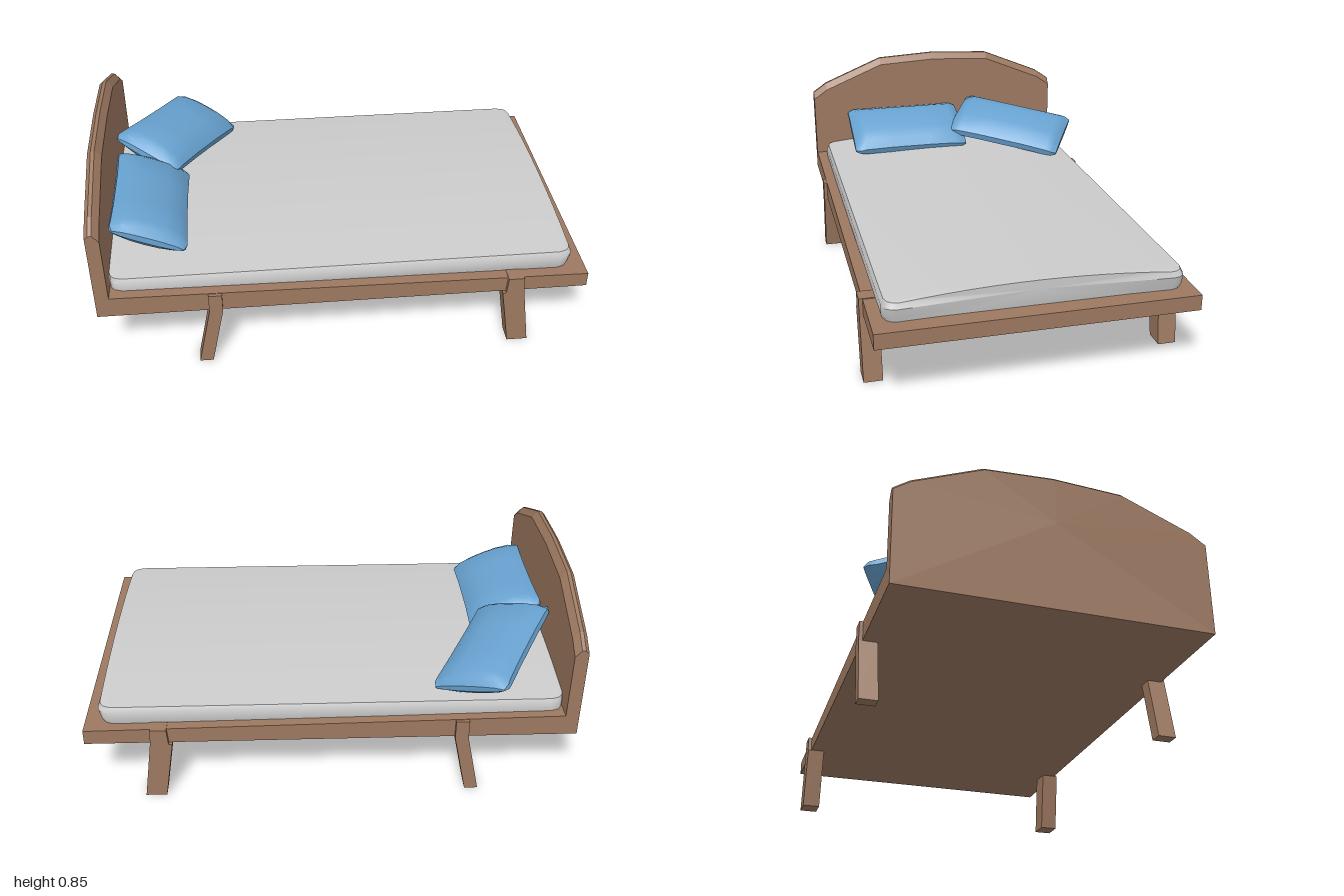
import * as THREE from 'three';
import { toCreasedNormals } from 'three/addons/utils/BufferGeometryUtils.js';

const wood = new THREE.MeshStandardMaterial({ color: 0x9c7860 });
const blue = new THREE.MeshStandardMaterial({ color: 0x68a2d0 });
const grey = new THREE.MeshStandardMaterial({ color: 0xcccccc });

// Skins equal-length closed rings of [x, y, z], counter-clockwise about the loft direction, with capped ends
function loft(rings, crease) {
  const n = rings[0].length, pos = rings.flat(2), index = [];
  for (let i = 0; i < rings.length - 1; i++) {
    for (let j = 0; j < n; j++) {
      const a = i * n + j, b = i * n + (j + 1) % n;
      index.push(a, b, a + n, b, b + n, a + n);
    }
  }
  [0, rings.length - 1].forEach((r) => {
    const c = pos.length / 3;
    for (let k = 0; k < 3; k++) pos.push(rings[r].reduce((s, p) => s + p[k], 0) / n);
    for (let j = 0; j < n; j++) {
      const a = r * n + j, b = r * n + (j + 1) % n;
      index.push(c, ...(r === 0 ? [b, a] : [a, b]));
    }
  });
  const geo = new THREE.BufferGeometry();
  geo.setAttribute('position', new THREE.Float32BufferAttribute(pos, 3));
  geo.setIndex(index);
  return toCreasedNormals(geo, crease);
}

function part(name, geo, material) {
  const mesh = new THREE.Mesh(geo, material);
  mesh.name = name;
  return mesh;
}

// Slab that thins slightly toward the foot
function frameGeometry() {
  return loft([[-0.945, 0.355], [1, 0.328]].map(([x, top]) =>
    [[x, 0.265, -0.6], [x, top, -0.6], [x, top, 0.65], [x, 0.265, 0.65]]), 0.3);
}

// Arched panel whose upper edge is chamfered front and back
function headboardGeometry() {
  const arch = [[-0.6, 0.67], [-0.535, 0.715], [-0.255, 0.83], [0.025, 0.845],
    [0.305, 0.83], [0.585, 0.715], [0.65, 0.67]];
  return loft([[-1, 0.015], [-0.985, 0], [-0.97, 0], [-0.945, 0.03]].map(([x, drop]) =>
    [[x, 0.265, -0.6], ...arch.map(([z, y]) => [x, y - drop, z]), [x, 0.265, 0.65]]), 0.1);
}

// Domed mattress with rounded corners, swept from head to foot
function mattressGeometry() {
  const stations = [[-0.945, 0.05], [-0.94, 0.028], [-0.925, 0.01], [-0.895, 0]];
  const all = [...stations, ...stations.slice().reverse().map(([x, inset]) => [-x, inset])];
  return loft(all.map(([x, inset]) => {
    const h = 0.583 - inset;
    const side = [[h - 0.015, 0.3, 0.975], [h, 0.345, 0.99], [h, 0.385, 1]];
    const top = [];
    for (let i = 0; i <= 12; i++) {
      const t = i / 6 - 1;
      top.push([t * (h - 0.01), 0.407 + 0.028 * (1 - t * t), 0.99]);
    }
    return [...side.map(([z, y, s]) => [-z, y, s]), ...top, ...side.slice().reverse()]
      .map(([z, y, s]) => [x * (x > 0 ? s : 1), y, 0.0225 + z]);
  }), 0.6);
}

// Flattened cushion, full in the middle and pinched at both ends
function pillowGeometry() {
  const section = [[0.162, -0.015], [0.162, 0.015], [0.12, 0.045], [0.06, 0.058], [0, 0.061],
    [-0.06, 0.058], [-0.12, 0.045], [-0.162, 0.015], [-0.162, -0.015], [-0.12, -0.045],
    [-0.06, -0.058], [0, -0.061], [0.06, -0.058], [0.12, -0.045]];
  const half = [[0.28, 0.22, 0.93], [0.255, 0.68, 1], [0.225, 0.93, 0.99], [0.1, 1, 0.97]];
  const stations = [...half.map(([z, v, u]) => [-z, v, u]), ...half.slice().reverse()];
  return loft(stations.map(([z, v, u]) => section.map(([x, y]) => [x * u, y * v, z])), 0.65);
}

// Bent leg outline in the x-y plane, extruded in z
function legGeometry(outline) {
  const shape = new THREE.Shape(outline.map(([x, y]) => new THREE.Vector2(x, y)));
  return new THREE.ExtrudeGeometry(shape, { depth: 0.075, bevelEnabled: false });
}

export function createModel() {
  const model = new THREE.Group();
  model.name = 'bed';
  model.add(part('frame', frameGeometry(), wood));
  model.add(part('headboard', headboardGeometry(), wood));
  model.add(part('mattress', mattressGeometry(), grey));

  // Splayed legs on both long sides
  const outlines = {
    headLeg: [[-0.61, 0], [-0.555, 0], [-0.5, 0.265], [-0.5, 0.347], [-0.555, 0.347], [-0.555, 0.265]],
    footLeg: [[0.687, 0], [0.773, 0], [0.735, 0.265], [0.73, 0.335], [0.665, 0.335], [0.66, 0.265], [0.645, 0.265]],
  };
  for (const [name, outline] of Object.entries(outlines)) {
    for (const [sideName, z] of [['Front', 0.59], ['Back', -0.615]]) {
      const leg = part(name + sideName, legGeometry(outline), wood);
      leg.position.z = z;
      model.add(leg);
    }
  }

  // One pillow leans on the headboard, the other lies askew
  const pillow = pillowGeometry();
  const straight = part('pillowStraight', pillow, blue);
  straight.position.set(-0.785, 0.503, 0.205);
  straight.rotation.z = -0.4;
  model.add(straight);

  const askew = part('pillowAskew', pillow, blue);
  const along = new THREE.Vector3(-0.26, 0.08, 0.47).normalize();
  const up = along.clone().cross(new THREE.Vector3(0.25, -0.09, 0.2)).normalize();
  const across = up.clone().cross(along);
  askew.quaternion.setFromRotationMatrix(new THREE.Matrix4().makeBasis(across, up, along));
  askew.position.set(-0.685, 0.51, -0.315);
  model.add(askew);
  return model;
}
